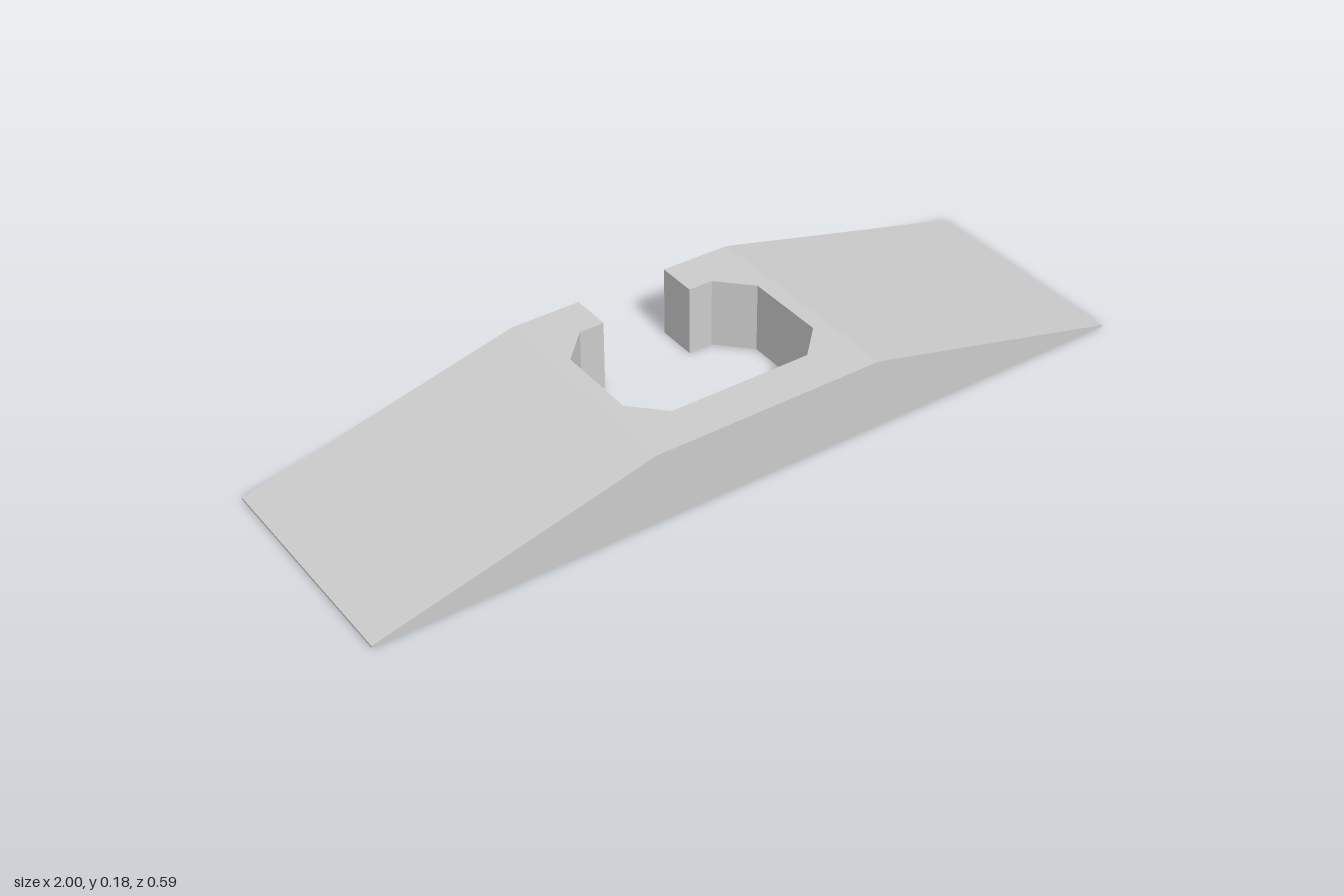
import * as THREE from 'three';

const HALF_DEPTH = 0.293, HEIGHT = 0.181, FLAT = 0.3, LIP = 0.005;
const material = new THREE.MeshStandardMaterial({ color: 0xcccccc, flatShading: true });

const shapeOf = (points) => new THREE.Shape(points.map(([x, y]) => new THREE.Vector2(x, y)));
const extrude = (points, depth) =>
  new THREE.ExtrudeGeometry(shapeOf(points), { depth, bevelEnabled: false });

// Drop the hidden faces where the ramps meet the centre block
function openJoints(geometry) {
  const p = geometry.attributes.position;
  const kept = [];
  for (let i = 0; i < p.count; i += 3) {
    const onJoint = [0, 1, 2].every((k) => Math.abs(Math.abs(p.getX(i + k)) - FLAT) < 1e-5)
      && Math.abs(p.getX(i) - p.getX(i + 1)) < 1e-5 && Math.abs(p.getX(i) - p.getX(i + 2)) < 1e-5;
    if (!onJoint) for (let k = 0; k < 3; k++) kept.push(p.getX(i + k), p.getY(i + k), p.getZ(i + k));
  }
  const open = new THREE.BufferGeometry();
  open.setAttribute('position', new THREE.Float32BufferAttribute(kept, 3));
  open.computeVertexNormals();
  return open;
}

function addMesh(group, name, geometry) {
  const mesh = new THREE.Mesh(openJoints(geometry), material);
  mesh.name = name;
  group.add(mesh);
}

export function createModel() {
  const group = new THREE.Group();
  group.name = 'rampBlock';

  // Flat centre with an octagonal opening and a slot through the back (plan as x, -z)
  const half = [
    [FLAT, -HALF_DEPTH], [FLAT, HALF_DEPTH], [0.12, HALF_DEPTH], [0.12, 0.188],
    [0.184, 0.188], [0.26, 0.11], [0.26, -0.104], [0.184, -0.181],
  ];
  const mirrored = half.map(([x, y]) => [-x, y]).reverse();
  const centre = extrude([...half, ...mirrored], HEIGHT);
  centre.rotateX(-Math.PI / 2);
  addMesh(group, 'centreBlock', centre);

  // Sloping ends, each with a thin lip at the tip
  const profile = [[FLAT, 0], [1, 0], [1, LIP], [FLAT, HEIGHT]];
  for (const [name, angle] of [['leftRamp', 0], ['rightRamp', Math.PI]]) {
    const ramp = extrude(profile, 2 * HALF_DEPTH);
    ramp.translate(0, 0, -HALF_DEPTH);
    ramp.rotateY(angle);
    addMesh(group, name, ramp);
  }
  return group;
}
